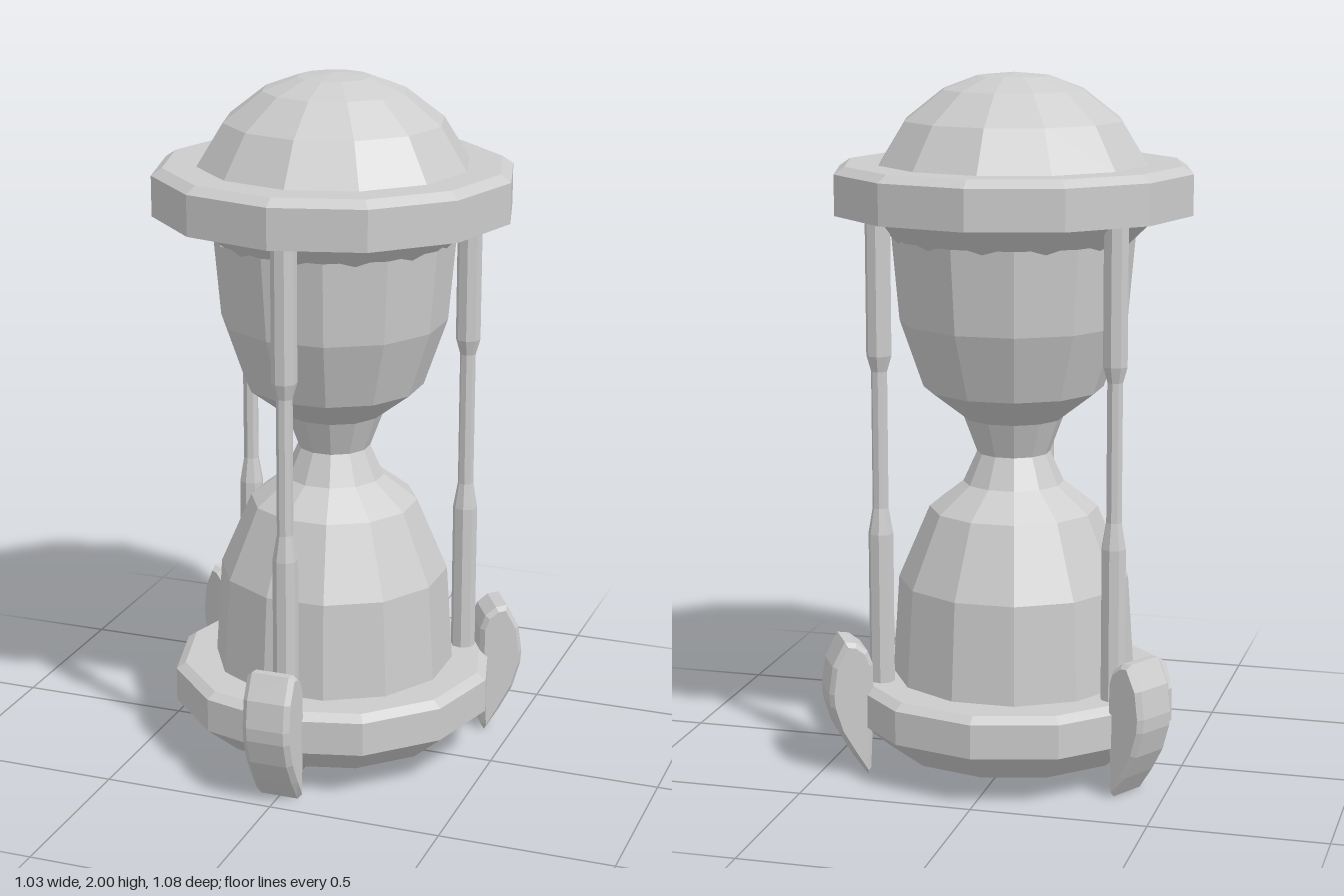
import * as THREE from 'three';

const stone = new THREE.MeshStandardMaterial({ color: 0xcccccc, flatShading: true });
stone.name = 'pale grey';

// Faceted turned part from [radius, height] pairs, bottom to top
function turned(name, profile, sides, turn = 0) {
  const points = profile.map(([r, y]) => new THREE.Vector2(r, y));
  const mesh = new THREE.Mesh(new THREE.LatheGeometry(points, sides, turn), stone);
  mesh.name = name;
  return mesh;
}

// Leaf-shaped foot, drawn in the radial plane and extruded sideways
function footGeometry() {
  const outline = [
    [0.513, 0.4], [0.48, 0.395], [0.448, 0.37], [0.433, 0.33], [0.432, 0.25], [0.436, 0.13],
    [0.441, 0.02], [0.45, 0], [0.495, 0.065], [0.535, 0.135], [0.558, 0.21], [0.561, 0.25], [0.55, 0.33],
  ];
  const shape = new THREE.Shape(outline.map(([r, y]) => new THREE.Vector2(r, y)));
  const geometry = new THREE.ExtrudeGeometry(shape, {
    depth: 0.11, bevelEnabled: true, bevelSize: 0.012, bevelOffset: -0.012,
    bevelThickness: 0.015, bevelSegments: 1,
  });
  geometry.translate(0, 0, -0.055);
  geometry.rotateY(-Math.PI / 2);
  return geometry;
}

export function createModel() {
  const model = new THREE.Group();
  model.name = 'hourglass';
  const body = new THREE.Group();
  body.name = 'body';
  body.position.z = -0.025;
  model.add(body);

  // Base and cap plates with a domed lid
  body.add(turned('base', [
    [0, 0.055], [0.365, 0.055], [0.472, 0.145], [0.472, 0.243], [0.445, 0.262], [0, 0.262],
  ], 12));
  body.add(turned('cap', [
    [0, 1.525], [0.33, 1.525], [0.42, 1.612], [0.515, 1.612], [0.515, 1.727], [0.484, 1.748], [0, 1.748],
  ], 12));
  body.add(turned('dome', [
    [0.393, 1.74], [0.313, 1.868], [0.203, 1.953], [0.103, 1.99], [0, 2],
  ], 12));

  // Glass bulbs joined at the narrow neck
  body.add(turned('glass', [
    [0.352, 0.255], [0.333, 0.545], [0.243, 0.755], [0.145, 0.83], [0.105, 0.918],
    [0.143, 1.02], [0.258, 1.107], [0.325, 1.3], [0.346, 1.54],
  ], 12, Math.PI / 12));

  // Three posts and feet around the axis
  const foot = footGeometry();
  for (let i = 0; i < 3; i++) {
    const spoke = new THREE.Group();
    spoke.name = 'support' + (i + 1);
    spoke.rotation.y = (i * Math.PI * 2) / 3;
    const post = turned('post', [
      [0.036, 0.25], [0.036, 0.7], [0.023, 0.775], [0.023, 1.17], [0.036, 1.215], [0.036, 1.62],
    ], 8, Math.PI / 8);
    post.position.z = 0.393;
    const footMesh = new THREE.Mesh(foot, stone);
    footMesh.name = 'foot';
    spoke.add(post, footMesh);
    body.add(spoke);
  }
  return model;
}
